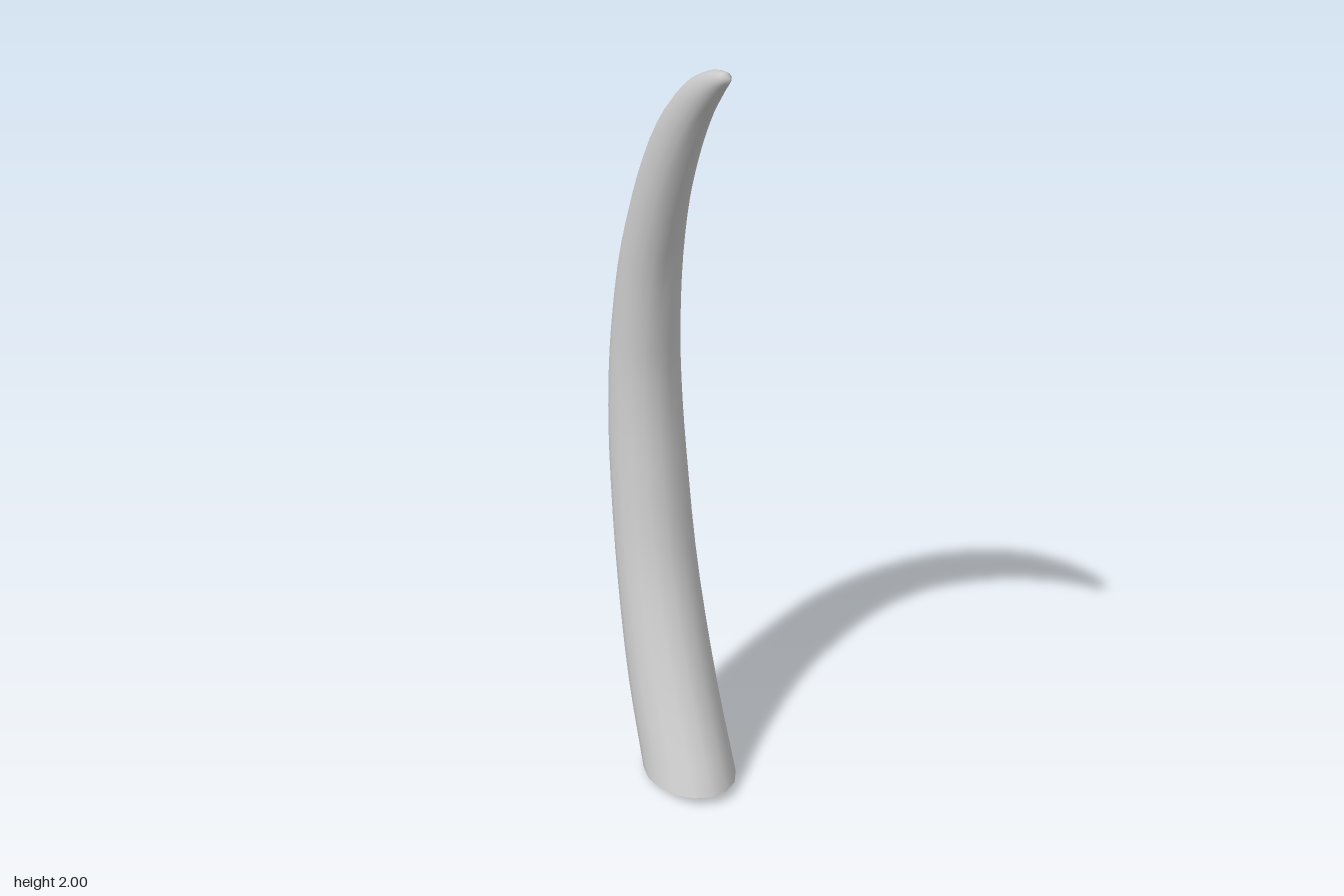
import * as THREE from 'three';

const SIDES = 16;
const RINGS = 36;

// Cross-sections from base to tip: outer edge (z, y), inner edge (z, y), half width
const SECTIONS = [
  [-0.064, 0, 0.256, 0.026, 0.116],
  [-0.177, 0.22, 0.105, 0.26, 0.112],
  [-0.255, 0.5, -0.03, 0.54, 0.106],
  [-0.31, 0.8, -0.098, 0.82, 0.1],
  [-0.322, 1.0, -0.122, 1.0, 0.094],
  [-0.307, 1.19, -0.12, 1.15, 0.087],
  [-0.255, 1.41, -0.09, 1.34, 0.078],
  [-0.165, 1.62, -0.025, 1.52, 0.066],
  [-0.04, 1.8, 0.065, 1.69, 0.054],
  [0.1, 1.92, 0.16, 1.825, 0.041],
  [0.22, 1.98, 0.25, 1.92, 0.028],
  [0.3, 1.999, 0.31, 1.972, 0.014],
];
const TIP = [0, 1.992, 0.326];

// Elliptical ring spanning the outer and inner edges
function ring(outer, inner, width) {
  const centre = outer.clone().add(inner).multiplyScalar(0.5);
  const depth = inner.clone().sub(outer).multiplyScalar(0.5);
  const points = [];
  for (let k = 0; k < SIDES; k++) {
    const a = (k / SIDES) * Math.PI * 2;
    points.push(width * Math.cos(a), centre.y + depth.y * Math.sin(a), centre.z + depth.z * Math.sin(a));
  }
  return points;
}

function makeGeometry(positions, index) {
  const geometry = new THREE.BufferGeometry();
  geometry.setAttribute('position', new THREE.Float32BufferAttribute(positions, 3));
  geometry.setIndex(index);
  geometry.computeVertexNormals();
  return geometry;
}

export function createModel() {
  const group = new THREE.Group();
  group.name = 'tusk';
  const material = new THREE.MeshStandardMaterial({ color: 0xcccccc });

  // Smooth curves through the edges; x of the outer curve carries the half width
  const outerCurve = new THREE.CatmullRomCurve3(
    SECTIONS.map((s) => new THREE.Vector3(s[4], s[1], s[0])), false, 'catmullrom');
  const innerCurve = new THREE.CatmullRomCurve3(
    SECTIONS.map((s) => new THREE.Vector3(0, s[3], s[2])), false, 'catmullrom');

  // Curved tapering body, closed by one tip vertex
  const positions = [];
  const index = [];
  for (let j = 0; j <= RINGS; j++) {
    const outer = outerCurve.getPoint(j / RINGS);
    const width = outer.x;
    outer.x = 0;
    positions.push(...ring(outer, innerCurve.getPoint(j / RINGS), width));
  }
  positions.push(...TIP);
  const tipIndex = (RINGS + 1) * SIDES;
  for (let j = 0; j <= RINGS; j++) {
    for (let k = 0; k < SIDES; k++) {
      const a = j * SIDES + k;
      const b = j * SIDES + ((k + 1) % SIDES);
      if (j === RINGS) index.push(b, a, tipIndex);
      else index.push(b, a, a + SIDES, b, a + SIDES, b + SIDES);
    }
  }
  const body = new THREE.Mesh(makeGeometry(positions, index), material);
  body.name = 'body';
  group.add(body);

  // Flat slanted base
  const capIndex = [];
  for (let k = 1; k < SIDES - 1; k++) capIndex.push(0, k, k + 1);
  const base = new THREE.Mesh(makeGeometry(positions.slice(0, SIDES * 3), capIndex), material);
  base.name = 'base';
  group.add(base);

  return group;
}
